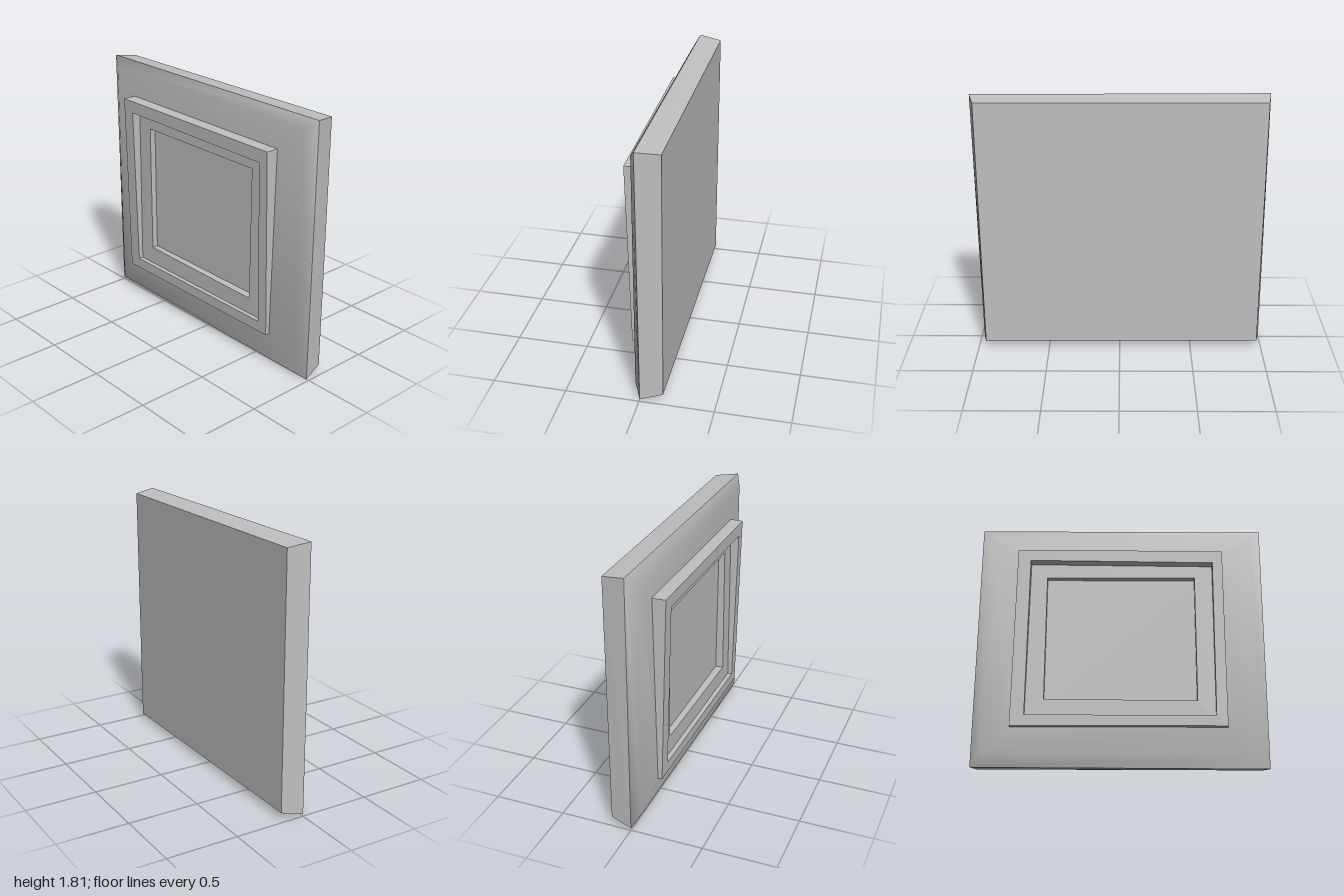
import * as THREE from 'three';

// Corner loops run bottom left, bottom right, top right, top left
const loops = {
  back: [[-0.97, 0.05, -0.15], [0.95, 0.04, -0.15], [0.96, 1.785, -0.15], [-0.975, 1.79, -0.15]],
  rim: [[-1, 0.015, 0], [0.98, 0, 0], [1, 1.803, 0.005], [-1, 1.813, 0.005]],
  bevel: [[-0.93, 0.09, 0.045], [0.91, 0.085, 0.045], [0.92, 1.74, 0.045], [-0.93, 1.745, 0.045]],
  frameBase: [[-0.74, 0.265, 0.086], [0.705, 0.26, 0.086], [0.71, 1.56, 0.058], [-0.725, 1.575, 0.058]],
  frameFront: [[-0.74, 0.265, 0.115], [0.705, 0.26, 0.115], [0.71, 1.56, 0.146], [-0.725, 1.575, 0.15]],
  recessEdge: [[-0.645, 0.34, 0.117], [0.63, 0.335, 0.117], [0.64, 1.47, 0.144], [-0.635, 1.49, 0.148]],
  recessFloor: [[-0.645, 0.34, 0.084], [0.63, 0.335, 0.085], [0.64, 1.47, 0.084], [-0.635, 1.49, 0.084]],
  panelEdge: [[-0.52, 0.465, 0.084], [0.51, 0.45, 0.086], [0.515, 1.38, 0.084], [-0.52, 1.385, 0.084]],
  panel: [[-0.52, 0.465, 0.042], [0.51, 0.45, 0.03], [0.515, 1.38, 0.04], [-0.52, 1.385, 0.042]],
};

// Joins successive loops with quads, sharing corners inside the strip
function skin(names, flat) {
  const points = names.flatMap((n) => loops[n]).flat();
  const index = [];
  for (let r = 0; r < names.length - 1; r++) {
    for (let i = 0; i < 4; i++) {
      const a = r * 4 + i, b = r * 4 + (i + 1) % 4;
      index.push(a, b, b + 4, a, b + 4, a + 4);
    }
  }
  return finish(points, index, flat);
}

function cap(name, order) {
  return finish(loops[name].flat(), order, true);
}

function finish(points, index, flat) {
  let g = new THREE.BufferGeometry();
  g.setAttribute('position', new THREE.Float32BufferAttribute(points, 3));
  g.setIndex(index);
  if (flat) g = g.toNonIndexed();
  g.computeVertexNormals();
  return g;
}

export function createModel() {
  const model = new THREE.Group();
  model.name = 'framedPanel';
  const grey = new THREE.MeshStandardMaterial({ color: 0xc0c0c0 });
  grey.name = 'grey';
  const add = (name, geometry) => {
    const mesh = new THREE.Mesh(geometry, grey);
    mesh.name = name;
    model.add(mesh);
  };

  // Slab with tapered sides and a softly domed face
  add('slabBack', cap('back', [0, 2, 1, 0, 3, 2]));
  add('slabSides', skin(['back', 'rim'], true));
  add('slabFace', skin(['rim', 'bevel', 'frameBase'], false));

  // Raised frame leaning forward at the top
  add('frame', skin(['frameBase', 'frameFront', 'recessEdge'], true));

  // Two stepped recesses ending in the inner panel
  add('recess', skin(['recessEdge', 'recessFloor', 'panelEdge', 'panel'], true));
  add('innerPanel', cap('panel', [0, 1, 2, 0, 2, 3]));
  return model;
}
